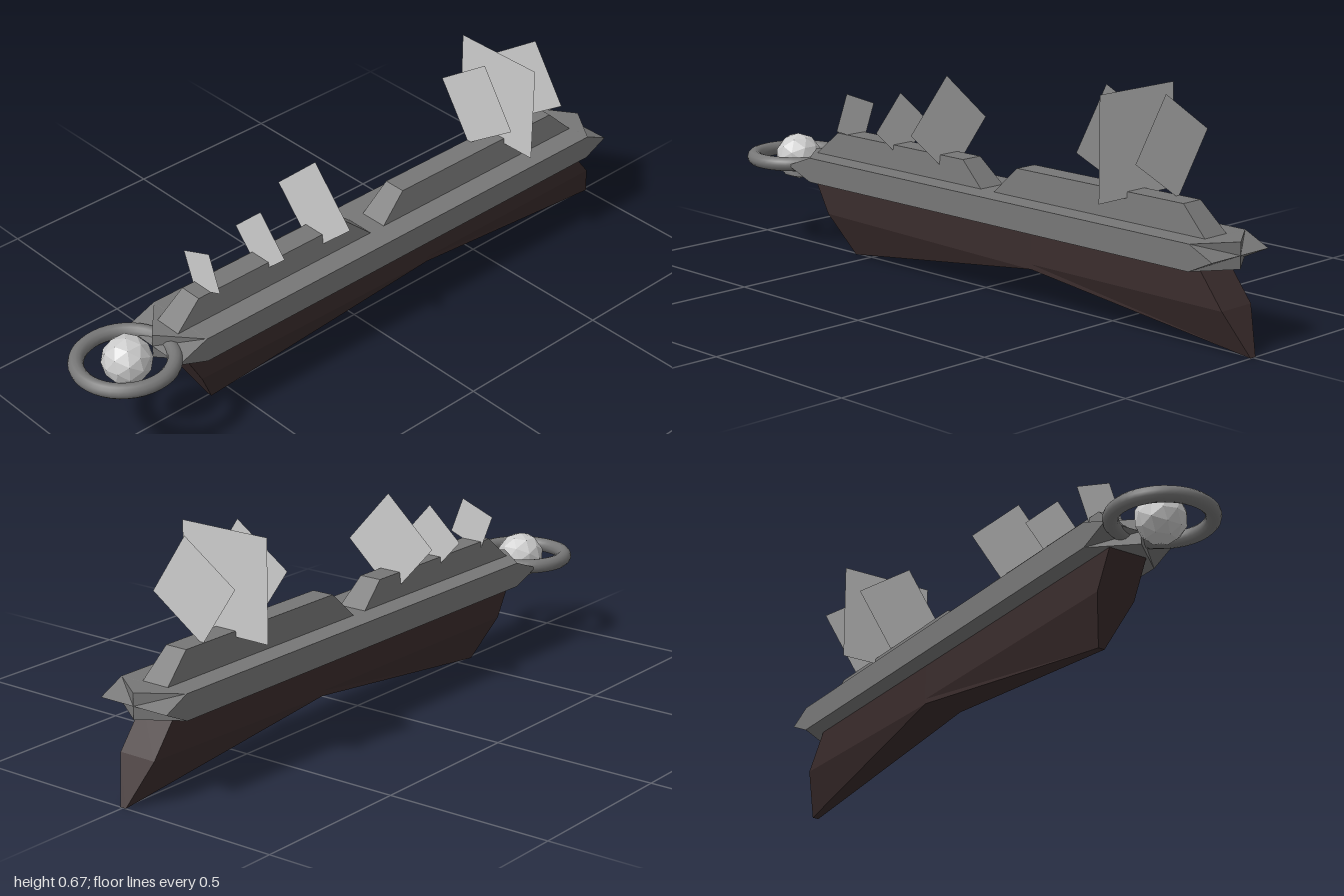
import * as THREE from 'three';

const grey = (color) => new THREE.MeshStandardMaterial({ color, flatShading: true });
const deckMat = grey(0x777777);
const hullMat = grey(0x3a2c2c);
const paleMat = grey(0xcccccc);
const sailMat = grey(0xcccccc);
sailMat.side = THREE.DoubleSide;

export function createModel() {
  const root = new THREE.Group();
  const add = (name, geometry, material, x = 0, y = 0, z = 0) => {
    const mesh = new THREE.Mesh(geometry, material);
    mesh.name = name;
    mesh.position.set(x, y, z);
    root.add(mesh);
    return mesh;
  };

  // Six-sided bar: long hexagon with pointed ends, extruded to a thickness
  const pointedBar = (half, depth) => {
    const outline = [[-0.75, 0], [-0.65, -half], [0.87, -half], [0.95, 0], [0.87, half], [-0.65, half]];
    const shape = new THREE.Shape(outline.map(([x, y]) => new THREE.Vector2(x, y)));
    return new THREE.ExtrudeGeometry(shape, { depth, bevelEnabled: false }).translate(0, 0, -depth / 2);
  };

  // Deck: one bar pointed in side view crossed with one pointed in plan
  add('deck', pointedBar(0.0375, 0.232), deckMat, 0, 0.268);
  add('deckPoints', pointedBar(0.115, 0.0745).rotateX(-Math.PI / 2), deckMat, 0, 0.268);

  // Raised cabins: boxes whose top is drawn in
  const cabin = (name, x0, x1, t0, t1, top) => {
    const geo = new THREE.BoxGeometry(1, 1, 1);
    const p = geo.attributes.position;
    for (let i = 0; i < p.count; i++) {
      const up = p.getY(i) > 0;
      const ahead = p.getX(i) > 0;
      p.setXYZ(i,
        up ? (ahead ? t1 : t0) : (ahead ? x1 : x0),
        up ? top : 0.3,
        Math.sign(p.getZ(i)) * (up ? 0.035 : 0.045));
    }
    add(name, geo, deckMat);
  };
  cabin('rearCabin', -0.7, 0.03, -0.61, -0.06, 0.378);
  cabin('frontCabin', 0.07, 0.87, 0.16, 0.78, 0.386);

  // Keel: three stations, each with top, knuckle and bottom as [x, y, half width]
  const stations = [
    [[-0.695, 0.24, 0.06], [-0.63, 0.125, 0.06], [-0.56, 0, 0.01]],
    [[0.24, 0.24, 0.06], [0.24, 0.125, 0.06], [0.24, 0.11, 0.06]],
    [[0.85, 0.24, 0.06], [0.94, 0.125, 0.06], [1, 0, 0.01]],
  ];
  const rings = stations.map((s) => [
    ...s.map(([x, y, w]) => [x, y, w]),
    ...s.slice().reverse().map(([x, y, w]) => [x, y, -w]),
  ]);
  const tris = [];
  const quad = (a, b, c, d) => tris.push(...a, ...b, ...c, ...a, ...c, ...d);
  for (let i = 0; i < 2; i++) {
    for (let j = 0; j < 6; j++) {
      const k = (j + 1) % 6;
      quad(rings[i][j], rings[i][k], rings[i + 1][k], rings[i + 1][j]);
    }
  }
  for (const j of [0, 1]) {
    const r = rings[0];
    const f = rings[2];
    quad(r[j], r[5 - j], r[4 - j], r[j + 1]);
    quad(f[j], f[j + 1], f[4 - j], f[5 - j]);
  }
  const keel = new THREE.BufferGeometry();
  keel.setAttribute('position', new THREE.Float32BufferAttribute(tris, 3));
  keel.computeVertexNormals();
  add('keel', keel, hullMat);

  // Ring and ball at the stern
  const ringMat = new THREE.MeshStandardMaterial({ color: 0x777777 });
  add('sternRing', new THREE.TorusGeometry(0.135, 0.022, 12, 40).rotateX(Math.PI / 2), ringMat, -0.843, 0.268);
  add('sternBall', new THREE.IcosahedronGeometry(0.072, 1), paleMat, -0.838, 0.268);

  // Thin square sails standing across the deck: x, centre y, side, turn in degrees
  const sails = [
    [0.58, 0.518, 0.298, 0],
    [0.707, 0.525, 0.21, 56],
    [0.493, 0.525, 0.21, 56],
    [-0.155, 0.458, 0.215, 48],
    [-0.357, 0.428, 0.148, 48],
    [-0.567, 0.428, 0.118, 69],
  ];
  for (const [x, y, side, turn] of sails) {
    const sail = add('sail', new THREE.PlaneGeometry(side, side), sailMat, x, y);
    sail.rotation.set(THREE.MathUtils.degToRad(turn), Math.PI / 2, 0);
  }
  return root;
}
